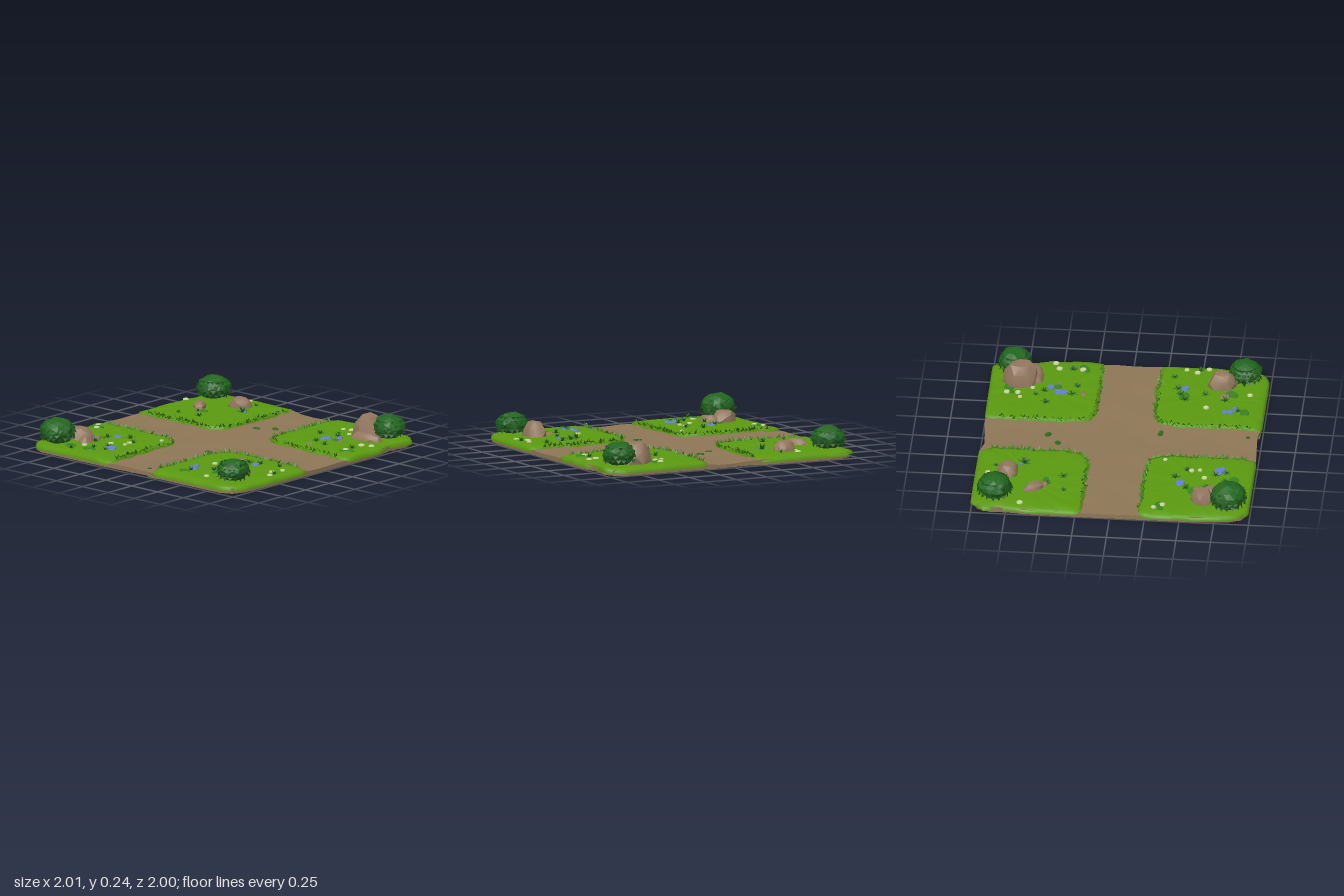
import * as THREE from 'three';
import { toCreasedNormals } from 'three/addons/utils/BufferGeometryUtils.js';

const paint = (name, color, side = THREE.FrontSide, flatShading = false) => {
  const m = new THREE.MeshStandardMaterial({ color, side, flatShading });
  m.name = name;
  return m;
};

// Repeatable pseudo-random value in -1..1 for a position
const hash = (x, y, z) => {
  const r = (v) => Math.round(v * 1000) / 1000;
  const s = Math.sin(r(x) * 127.1 + r(y) * 311.7 + r(z) * 74.7 + 1.3) * 43758.5453;
  return (s - Math.floor(s)) * 2 - 1;
};

// Worn outline of the tile, in order around the centre
const OUTLINE = [[1, -0.58], [1, 0], [1, 0.6], [0.985, 0.85], [0.94, 0.95], [0.85, 0.985], [0.22, 0.985], [0.14, 0.965],
  [-0.2, 0.985], [-0.9, 0.985], [-0.96, 0.93], [-0.985, 0.82], [-1, 0.6], [-1, 0], [-1, -0.6], [-0.97, -0.82],
  [-1, -0.9], [-0.91, -1], [-0.25, -1], [-0.08, -0.965], [0.06, -0.995], [0.9, -1], [1, -0.91], [0.96, -0.7]];

// Pull a point of the square tile in to the worn outline
function warp(x, z) {
  const m = Math.max(Math.abs(x), Math.abs(z));
  if (m < 0.3) return [x, z];
  const dx = x / m, dz = z / m;
  for (let i = 0; i < OUTLINE.length; i++) {
    const [ax, az] = OUTLINE[i], [bx, bz] = OUTLINE[(i + 1) % OUTLINE.length];
    const ex = bx - ax, ez = bz - az, d = dx * ez - dz * ex;
    const t = (ax * ez - az * ex) / d, u = (ax * dz - az * dx) / d;
    if (t > 0 && u >= -1e-6 && u <= 1 + 1e-6) {
      const k = 1 + (t - 1) * m ** 6;
      return [x * k, z * k];
    }
  }
  return [x, z];
}

export function createModel() {
  const group = new THREE.Group();
  const D = THREE.DoubleSide;
  const earth = paint('earth brown', 0x8f7757), grass = paint('grass green', 0x5b9a10);
  const blade = paint('blade green', 0x4a8a12, D, true), plantMat = paint('plant green', 0x2b6a1c, D, true);
  const bushMat = paint('bush green', 0x22661f, D, true), bushDark = paint('deep leaf green', 0x184d18, D, true);
  const stone = paint('stone brown', 0x947860), blue = paint('flower blue', 0x667fd6);
  const cream = paint('flower cream', 0xc9d6a0), moss = paint('moss green', 0x3a8420);

  const add = (name, geo, mat, x = 0, y = 0, z = 0) => {
    const mesh = new THREE.Mesh(geo, mat);
    mesh.name = name;
    mesh.position.set(x, y, z);
    group.add(mesh);
    return mesh;
  };
  const fromPoints = (pts, index) => {
    const g = new THREE.BufferGeometry();
    g.setAttribute('position', new THREE.Float32BufferAttribute(pts, 3));
    if (index) g.setIndex(index);
    g.computeVertexNormals();
    return g;
  };
  // One pointed leaf leaning outward along angle a
  const leaf = (out, x, y, z, a, len, rise, w) => {
    const c = Math.cos(a), s = Math.sin(a);
    out.push(x - s * w, y, z + c * w, x + c * len, y + rise, z + s * len, x + s * w, y, z - c * w);
  };

  // Earth slab with a bumpy road surface
  const slab = new THREE.BoxGeometry(2, 1, 2, 16, 1, 16), sp = slab.attributes.position;
  for (let i = 0; i < sp.count; i++) {
    const x = sp.getX(i), z = sp.getZ(i), inner = Math.max(Math.abs(x), Math.abs(z)) < 0.99;
    const j = inner ? 0.035 : 0;
    const [wx, wz] = warp(x + j * hash(x, 1, z), z + j * hash(x, 2, z));
    const low = Math.min(Math.abs(x), Math.abs(z), 0.2);
    sp.setXYZ(i, wx, sp.getY(i) > 0 ? 0.031 + low * 0.04 + 0.007 * hash(x, 3, z) : 0.003, wz);
  }
  slab.computeVertexNormals();
  add('earthSlab', slab, earth);

  // Grass corners with rounded inner corners, ragged rims and blade fringes
  const N = 88, rings = [0.3, 0.6, 0.85, 0.95, 1, 1.005];
  const fringe = [], shade = [];
  for (const sx of [-1, 1]) for (const sz of [-1, 1]) {
    const pts = [sx * 0.605, 0.064, sz * 0.605], index = [];
    rings.forEach((k, r) => {
      for (let i = 0; i < N; i++) {
        const t = i / N * Math.PI * 2, c = Math.cos(t), s = Math.sin(t);
        const n = c * sx < 0.2 && s * sz < 0.2 ? 6 : 30;
        let rad = 0.4 / (Math.abs(c) ** n + Math.abs(s) ** n) ** (1 / n);
        const px = sx * 0.605 + c * rad, pz = sz * 0.605 + s * rad;
        const outer = Math.max(Math.abs(px), Math.abs(pz)) > 0.94;
        if (!outer) rad += 0.008 * hash(px, 4, pz);
        const [x, z] = warp(sx * 0.605 + c * rad * k, sz * 0.605 + s * rad * k);
        const edge = outer ? 0.044 + 0.008 * hash(Math.round(i / 4), sx, sz) : 0.056;
        pts.push(x, r < 3 ? 0.062 + 0.003 * hash(x, r, z) : r === 3 ? (edge + 0.062) / 2 : r === 4 ? edge : 0.02, z);
        if (r === 4 && !outer) {
          for (let q = 0; q < 3; q++) {
            const h = hash(x, q + 5, z), a = t + h * 1.6;
            leaf(q === 2 ? shade : fringe, x - c * 0.012 * q, 0.05, z - s * 0.012 * q, a, 0.022 + 0.012 * h, 0.026 + 0.014 * hash(z, q, x), 0.013);
          }
        }
        const j = (i + 1) % N, a = 1 + r * N;
        if (r === 0) index.push(0, a + j, a + i);
        else index.push(a - N + i, a - N + j, a + i, a - N + j, a + j, a + i);
      }
    });
    add('grassCorner', fromPoints(pts, index), grass);
  }
  add('grassFringe', fromPoints(fringe), blade);
  add('grassFringeShade', fromPoints(shade), plantMat);

  // Small leafy plants
  const plants = [];
  for (const [x, z, k] of [[-0.4, -0.66, 1.3], [-0.56, -0.37, 1], [-0.66, -0.47, 0.8], [-0.74, -0.35, 0.7], [-0.45, -0.86, 0.7],
    [0.42, -0.58, 1], [0.54, -0.4, 1], [0.65, -0.37, 0.9], [0.57, -0.6, 0.9], [0.87, -0.42, 1], [0.52, -0.66, 0.7],
    [-0.5, 0.43, 1], [-0.64, 0.52, 1], [-0.4, 0.51, 0.9], [-0.63, 0.66, 1], [-0.45, 0.72, 1], [-0.63, 0.92, 0.9], [-0.53, 0.79, 0.8], [-0.42, 0.79, 0.8],
    [0.54, 0.41, 1.2], [0.6, 0.38, 1.1], [0.68, 0.35, 1], [0.83, 0.31, 0.9], [0.94, 0.49, 0.9], [0.55, 0.7, 1], [0.42, 0.8, 0.9], [0.62, 0.55, 0.8]]) {
    for (let i = 0; i < 12; i++) {
      const a = i * Math.PI / 6 * 1.1 + x * 9, up = i % 2;
      leaf(plants, x, 0.06, z, a, (up ? 0.022 : 0.042) * k, (up ? 0.034 : 0.014) * k, 0.011 * k);
    }
  }
  add('leafyPlants', fromPoints(plants), plantMat);

  // Round bushes: lumpy dome with rings of drooping leaves
  for (const [x, z, r, h] of [[-0.84, -0.84, 0.122, 0.23], [0.85, -0.84, 0.115, 0.232], [-0.835, 0.84, 0.125, 0.238], [0.84, 0.82, 0.115, 0.222]]) {
    const g = new THREE.IcosahedronGeometry(1, 2), p = g.attributes.position;
    for (let i = 0; i < p.count; i++) {
      const vx = p.getX(i), vy = p.getY(i), vz = p.getZ(i), k = 1 + 0.07 * hash(vx + x, vy, vz + z);
      const f = vy < 0 ? 1 + vy * 0.15 : 1;
      p.setXYZ(i, vx * k * r * f, Math.max(vy * k, -0.8) * (h - 0.14), vz * k * r * f);
    }
    g.computeVertexNormals();
    add('bush', g, bushMat, x, 0.138, z);
    const leaves = [];
    for (let ring = 0; ring < 4; ring++) for (let i = 0; i < 18; i++) {
      const a = (i + ring * 0.5) / 18 * Math.PI * 2, q = r * [0.93, 0.98, 0.93, 0.78][ring];
      const v = hash(a, ring, x + z);
      leaf(leaves, Math.cos(a) * q, [-0.03, 0, 0.03, 0.058][ring], Math.sin(a) * q, a + v * 0.5, 0.012 + 0.008 * v, -0.025 + 0.01 * v, 0.02);
    }
    add('bushLeaves', fromPoints(leaves), bushDark, x, 0.138, z);
  }

  // Rocks: x, z, half width, height, half depth, turn
  for (const [x, z, w, h, d, turn] of [[0.7, -0.79, 0.11, 0.19, 0.13, 0.1], [0.77, -0.68, 0.13, 0.07, 0.06, 0.2],
    [-0.78, 0.65, 0.1, 0.1, 0.085, 0.2], [-0.68, 0.7, 0.05, 0.06, 0.08, 0.3], [-0.67, 0.6, 0.03, 0.04, 0.03, 0],
    [0.75, 0.66, 0.075, 0.14, 0.1, 0.1], [0.61, 0.69, 0.042, 0.02, 0.04, 0], [-0.52, -0.77, 0.085, 0.09, 0.08, 0.3],
    [-0.73, -0.57, 0.045, 0.06, 0.09, 0.6], [-0.68, -0.5, 0.035, 0.03, 0.035, 0], [0.67, -0.51, 0.045, 0.015, 0.02, -0.6],
    [0.55, -0.32, 0.04, 0.015, 0.025, 0]]) {
    const g = new THREE.IcosahedronGeometry(1, 1), p = g.attributes.position;
    for (let i = 0; i < p.count; i++) {
      const vx = p.getX(i), vy = p.getY(i), vz = p.getZ(i), k = 1 + 0.12 * hash(vx + x, vy, vz + z);
      p.setXYZ(i, vx * k * w, Math.min(Math.max(vy * k, -0.1), 0.82) * h, vz * k * d);
    }
    add('rock', toCreasedNormals(g, 0.6), stone, x, 0.055, z).rotation.y = turn;
  }

  // Low discs for flowers and moss: x, z, radius
  const discs = (name, mat, y, sides, list) => {
    for (const [x, z, r, stretch = 1] of list) {
      const disc = add(name, new THREE.CylinderGeometry(r * 0.9, r, 0.008, sides), mat, x, y, z);
      disc.scale.x = stretch;
      disc.rotation.y = hash(x, 0, z) * 0.6;
    }
  };
  discs('creamFlower', cream, 0.069, 6, [[-0.56, -0.91, 0.024], [-0.94, -0.65, 0.025], [-0.58, -0.84, 0.012], [0.53, -0.87, 0.024],
    [0.53, -0.79, 0.022], [0.47, -0.77, 0.017], [0.6, -0.69, 0.018], [0.87, -0.52, 0.025], [0.94, -0.55, 0.024], [0.87, -0.35, 0.026], [-0.92, 0.31, 0.02],
    [-0.88, 0.37, 0.023], [-0.74, 0.6, 0.02], [-0.41, 0.54, 0.022], [-0.5, 0.64, 0.022], [-0.4, 0.6, 0.018], [-0.61, 0.8, 0.022],
    [-0.28, 0.34, 0.017], [0.93, 0.39, 0.02], [0.9, 0.47, 0.024], [0.95, 0.55, 0.022], [0.44, 0.57, 0.023], [0.63, 0.87, 0.022]]);
  discs('blueFlower', blue, 0.071, 7, [[0.555, -0.5, 0.034], [0.555, -0.46, 0.028], [0.62, -0.56, 0.028], [-0.585, 0.47, 0.036],
    [-0.41, 0.735, 0.035, 1.3], [-0.38, 0.76, 0.028], [0.385, 0.71, 0.024], [0.39, 0.75, 0.026], [0.44, 0.78, 0.022],
    [0.68, 0.4, 0.03], [-0.43, -0.68, 0.014], [-0.37, -0.65, 0.014]]);
  discs('mossPatch', moss, 0.065, 8, [[-0.62, -0.49, 0.025, 1.5], [-0.57, -0.73, 0.03], [0.6, -0.86, 0.035, 1.4], [0.54, -0.84, 0.022],
    [0.89, -0.34, 0.035, 1.6], [0.63, -0.51, 0.03], [-0.93, 0.36, 0.02], [-0.88, 0.34, 0.026, 1.6], [-0.68, 0.57, 0.035, 1.5],
    [-0.52, 0.85, 0.04, 1.5], [-0.69, 0.86, 0.035, 1.4], [0.4, 0.85, 0.035, 1.3], [0.63, 0.74, 0.045, 1.2], [0.59, 0.4, 0.03, 1.6]]);
  discs('roadMoss', plantMat, 0.039, 7, [[-0.08, -0.45, 0.024, 1.3], [0.03, -0.53, 0.022, 1.4], [0.1, 0.27, 0.02], [0.13, 0.275, 0.018], [0.11, 0.9, 0.014]]);

  // Turf patches showing through the underside: x, z, turn
  for (const [x, z, turn] of [[0.79, -0.3, 0.3], [0.37, -0.67, 0.9], [0.66, 0.57, 0.7], [-0.34, -0.75, 0.5],
    [0.23, 0.91, 0.2], [-0.54, -0.26, 0.4], [-0.49, 0.86, 0.2], [-0.87, 0.47, 1.2]]) {
    const patch = add('undersideTurf', new THREE.CylinderGeometry(0.075, 0.075, 0.004, 9), grass, x, 0.002, z);
    patch.scale.x = 1.6;
    patch.rotation.y = turn;
  }
  return group;
}
